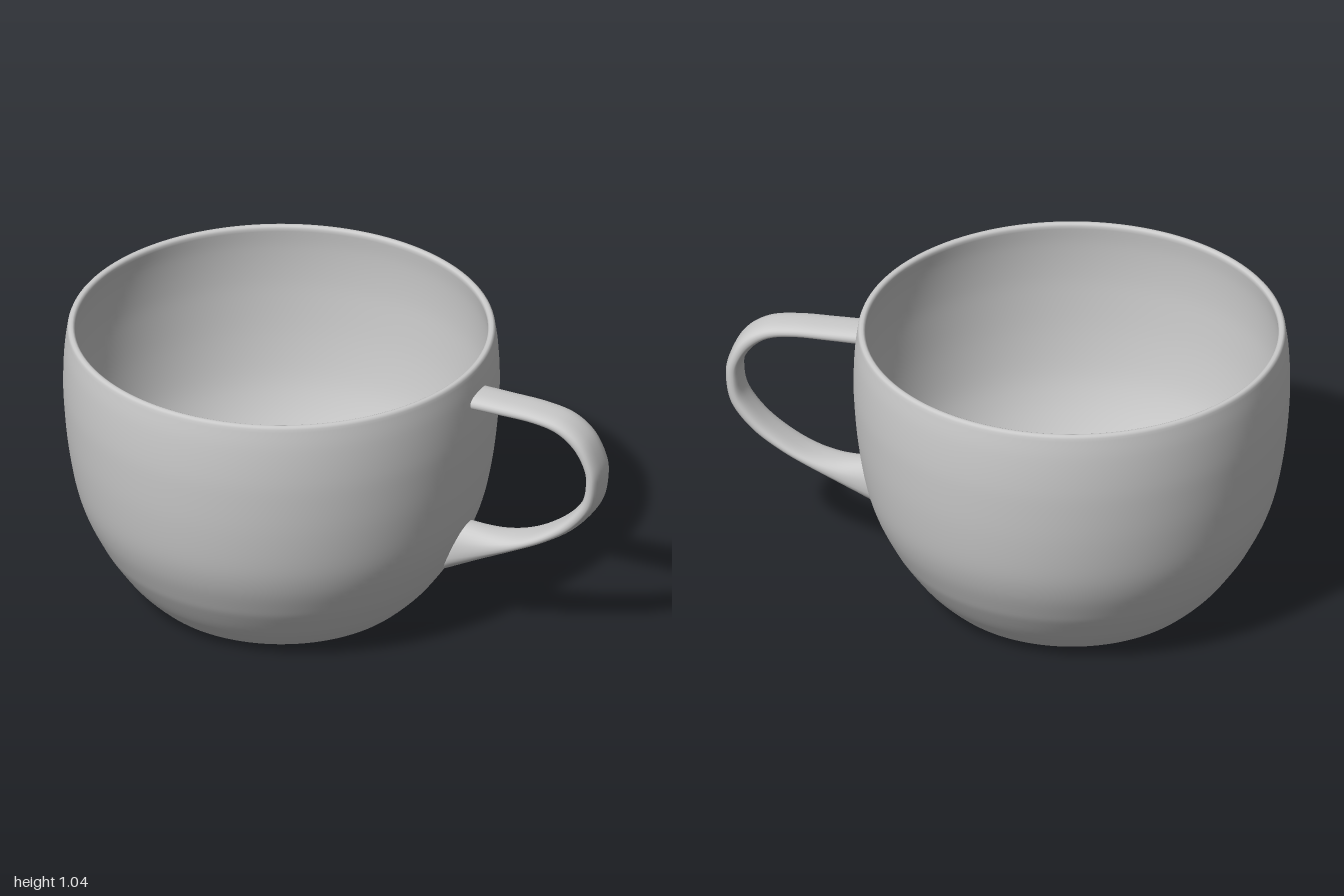
import * as THREE from 'three';

const CUP_X = -0.24;
const v2 = (list) => list.map(([x, y]) => new THREE.Vector2(x, y));
const smooth = (list, n) => new THREE.SplineCurve(v2(list)).getPoints(n);

// Hollow cup: closed profile from the underside, up the outer wall, over the rim and down inside
function makeCup(material) {
  const outer = smooth([
    [0.41, 0], [0.44, 0.008], [0.475, 0.03], [0.545, 0.1], [0.61, 0.19], [0.645, 0.25],
    [0.69, 0.345], [0.722, 0.45], [0.747, 0.6], [0.76, 0.75], [0.762, 0.85], [0.757, 0.95], [0.747, 1.025],
  ], 56);
  const rim = v2([[0.744, 1.033], [0.738, 1.036], [0.73, 1.036], [0.724, 1.033]]);
  const inner = smooth([
    [0.721, 1.025], [0.731, 0.95], [0.736, 0.85], [0.734, 0.75], [0.721, 0.6], [0.697, 0.46],
    [0.665, 0.36], [0.62, 0.265], [0.58, 0.2], [0.52, 0.12], [0.465, 0.062], [0.43, 0.045], [0.39, 0.04],
  ], 56);
  const profile = [
    new THREE.Vector2(0, 0), new THREE.Vector2(0.4, 0),
    ...outer, ...rim, ...inner, new THREE.Vector2(0, 0.04),
  ];
  const cup = new THREE.Mesh(new THREE.LatheGeometry(profile, 128), material);
  cup.name = 'cup';
  cup.position.x = CUP_X;
  return cup;
}

// Handle: rounded cross-sections spanning an outer and an inner edge curve
function makeHandle(material) {
  const STEPS = 90, SIDES = 28, HALF_WIDTH = 0.07;
  const outer = smooth([
    [0.505, 0.946], [0.62, 0.942], [0.75, 0.936], [0.86, 0.915], [0.94, 0.86], [0.985, 0.775],
    [0.996, 0.7], [0.975, 0.595], [0.9, 0.5], [0.8, 0.43], [0.69, 0.372], [0.55, 0.302], [0.395, 0.222],
  ], STEPS);
  const inner = smooth([
    [0.505, 0.892], [0.62, 0.892], [0.74, 0.89], [0.83, 0.872], [0.895, 0.825], [0.935, 0.76],
    [0.944, 0.7], [0.928, 0.62], [0.865, 0.535], [0.78, 0.467], [0.69, 0.422], [0.59, 0.405], [0.475, 0.412],
  ], STEPS);
  const round = (t, power) => Math.sign(t) * Math.abs(t) ** power;

  const positions = [], indices = [];
  for (let i = 0; i <= STEPS; i++) {
    const mid = outer[i].clone().add(inner[i]).multiplyScalar(0.5);
    const half = outer[i].clone().sub(mid);
    for (let j = 0; j < SIDES; j++) {
      const a = (j / SIDES) * Math.PI * 2;
      const s = round(Math.cos(a), 0.8);
      positions.push(mid.x + half.x * s, mid.y + half.y * s, HALF_WIDTH * round(Math.sin(a), 0.8));
      if (i === STEPS) continue;
      const k = (j + 1) % SIDES;
      const p = i * SIDES + j, q = i * SIDES + k;
      indices.push(p, q, p + SIDES, q, q + SIDES, p + SIDES);
    }
  }
  const geometry = new THREE.BufferGeometry();
  geometry.setAttribute('position', new THREE.Float32BufferAttribute(positions, 3));
  geometry.setIndex(indices);
  geometry.computeVertexNormals();
  const handle = new THREE.Mesh(geometry, material);
  handle.name = 'handle';
  return handle;
}

export function createModel() {
  const material = new THREE.MeshStandardMaterial({ color: 0xcccccc });
  const model = new THREE.Group();
  model.name = 'teacup';
  model.add(makeCup(material), makeHandle(material));
  return model;
}
